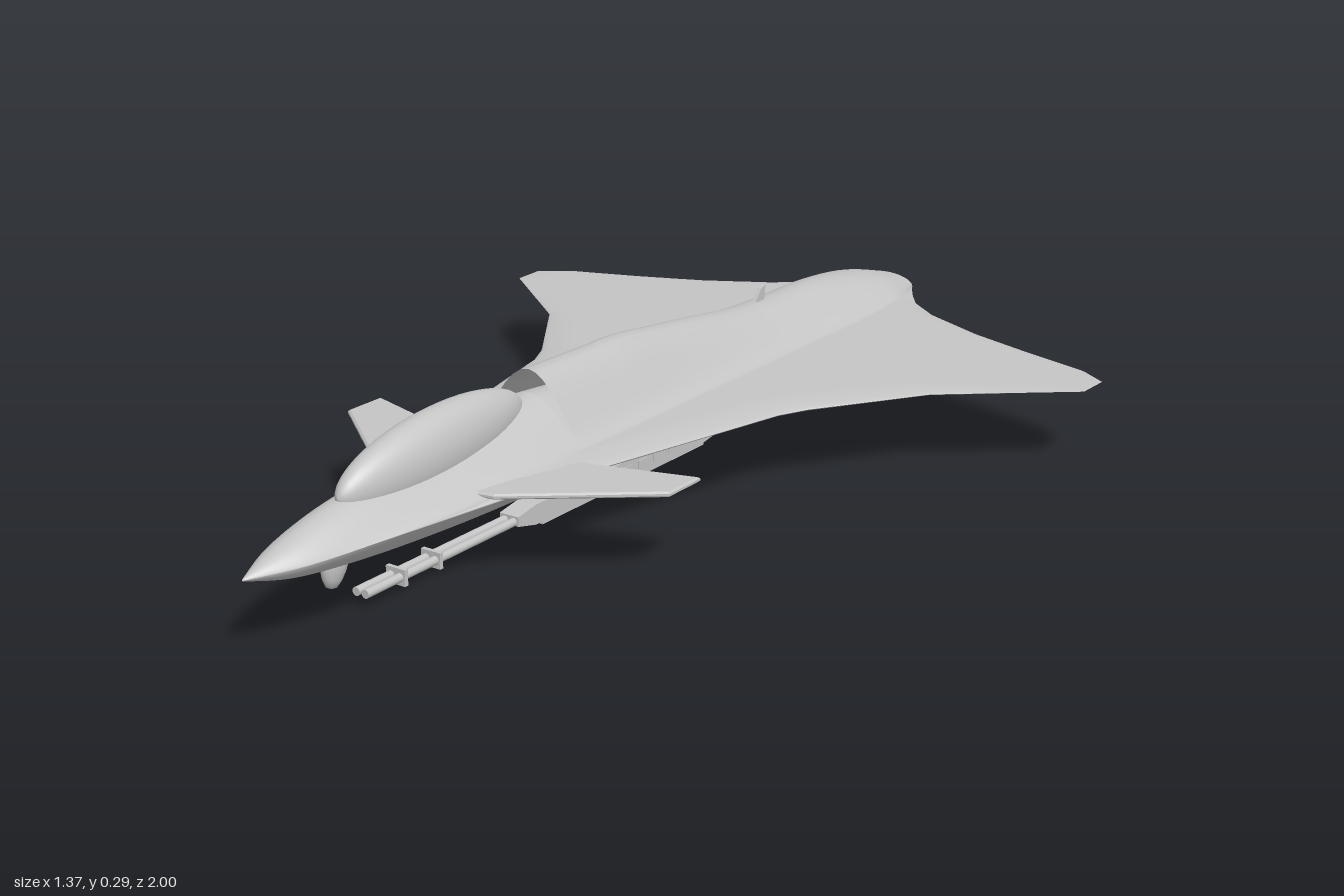
import * as THREE from 'three';

const grey = new THREE.MeshStandardMaterial({ color: 0xc4c4c4, side: THREE.DoubleSide });
grey.name = 'light grey';

// Planform edge from nose to tail: z, half-width
const EDGE = [[1, 0], [0.8, 0.073], [0.55, 0.13], [0.38, 0.17], [-0.09, 0.285], [-0.15, 0.313],
  [-0.36, 0.455], [-0.545, 0.683], [-0.62, 0.686], [-0.66, 0.63], [-0.7, 0.5], [-0.745, 0.365],
  [-0.815, 0.22], [-0.88, 0.14], [-0.93, 0.105], [-1, 0.063]];

// Fuselage from nose to tail: half-width, top y, bottom y
const BODY_Z = [1, 0.92, 0.8, 0.55, 0.29, 0.1, -0.15, -0.4, -0.7, -0.88, -1];
const BODY = new THREE.CubicInterpolant(BODY_Z.map(z => -z), [
  [0.002, 0.141, 0.137], [0.041, 0.169, 0.114], [0.073, 0.198, 0.097], [0.118, 0.22, 0.08],
  [0.13, 0.25, 0.072], [0.13, 0.29, 0.07], [0.13, 0.271, 0.071], [0.13, 0.243, 0.077],
  [0.126, 0.234, 0.093], [0.105, 0.211, 0.114], [0.065, 0.181, 0.131]].flat(), 3);

const { clamp } = THREE.MathUtils;

// Section at z; the exponent makes it round at both ends and bell-shaped amidships
function section(z) {
  const [r, top, bottom] = BODY.evaluate(-z);
  let i = 0;
  while (i < EDGE.length - 2 && z < EDGE[i + 1][0]) i++;
  const [za, wa] = EDGE[i], [zb, wb] = EDGE[i + 1];
  const w = Math.max(r, wa + (wb - wa) * (za - z) / (za - zb));
  const power = Math.min(0.7 + 1.3 * clamp((0.97 - z) / 0.57, 0, 1), 0.5 + 1.5 * clamp((z + 1) / 0.45, 0, 1));
  return { r, w, top, bottom, power, mid: 0.157 - 0.03 * Math.max(0, z - 0.4) };
}

// Height of the upper (side 1) or lower (side -1) skin at distance ax from the centreline
function skinY(ax, s, side) {
  const bell = Math.max(0, 1 - (ax / s.r) ** 2);
  const wing = 0.018 * (1 - ax / 0.76) * Math.sqrt(clamp((s.w - ax) / 0.06, 0, 1));
  const lift = Math.min(wing, (s.w - s.r) * 0.4);
  const reach = side > 0 ? s.top - s.mid : s.mid - s.bottom;
  return s.mid + side * (lift + (reach - lift) * bell ** (side > 0 ? s.power : 0.3 + 0.55 * s.power));
}

// Skin sheet lofted between two z values; topAt replaces the top line
function skin(zFrom, zTo, side, { topAt, wing = 10 } = {}) {
  const zs = [zFrom];
  for (let i = 1; i < EDGE.length; i++) {
    const a = Math.min(EDGE[i - 1][0], zFrom), b = Math.max(EDGE[i][0], zTo);
    if (a <= b) continue;
    const steps = Math.max(3, Math.ceil((a - b) / 0.025));
    for (let k = 1; k <= steps; k++) zs.push(a + (b - a) * k / steps);
  }
  const pos = [], idx = [], body = 12, n = body + wing;
  zs.forEach((z, j) => {
    const s = section(z);
    if (topAt) s.top = topAt(z, s.top);
    for (let i = -n; i <= n; i++) {
      const a = Math.abs(i);
      const ax = a <= body ? s.r * Math.sin(a / body * Math.PI / 2)
        : s.r + (s.w - s.r) * Math.sin((a - body) / wing * Math.PI / 2);
      pos.push(Math.sign(i) * ax, skinY(ax, s, side), z);
      if (j && i < n) {
        const q = pos.length / 3 - 1, p = q - (2 * n + 1);
        if (side < 0) idx.push(p, p + 1, q, p + 1, q + 1, q);
        else idx.push(p, q, p + 1, p + 1, q, q + 1);
      }
    }
  });
  // Rows run toward -z, so the outward winding is the reverse of the order above
  idx.reverse();
  const g = new THREE.BufferGeometry();
  g.setAttribute('position', new THREE.Float32BufferAttribute(pos, 3));
  g.setIndex(idx);
  g.computeVertexNormals();
  return g;
}

const shapeOf = pts => new THREE.Shape(pts.map(p => new THREE.Vector2(...p)));

// Side profile of [z, y] points, extruded across x
function sidePlate(pts, width) {
  return new THREE.ExtrudeGeometry(shapeOf(pts), { depth: width, bevelEnabled: false })
    .translate(0, 0, -width / 2).rotateY(-Math.PI / 2);
}

export function createModel() {
  const model = new THREE.Group();
  const add = (name, geo, x = 0, y = 0, z = 0, parent = model) => {
    const m = new THREE.Mesh(geo, grey);
    m.name = name;
    m.position.set(x, y, z);
    parent.add(m);
    return m;
  };
  const box = (name, w, h, d, x, y, z, parent) => add(name, new THREE.BoxGeometry(w, h, d), x, y, z, parent);

  // Blended fuselage and wing, with the raised spine starting at the intake lip
  add('forwardUpperSkin', skin(1, 0.29, 1));
  add('rearUpperSkin', skin(0.29, -1, 1, { topAt: (z, top) => z > 0.1 ? 0.29 + 0.016 * (z - 0.1) : top }));
  add('intakeFloor', skin(0.29, 0.08, 1, { topAt: z => 0.25 - (0.29 - z) * 0.1, wing: 0 }));
  add('lowerSkin', skin(1, -1, -1));

  // Canopy, its base rising toward the rear
  const canopy = new THREE.SphereGeometry(1, 40, 24).rotateX(Math.PI / 2).scale(0.052, 0.073, 0.235);
  const cp = canopy.attributes.position;
  for (let i = 0; i < cp.count; i++) cp.setY(i, cp.getY(i) - cp.getZ(i) * 0.07);
  canopy.computeVertexNormals();
  add('canopy', canopy, 0, 0.219, 0.55);

  // Exhaust nozzle: oval lip and inner wall
  const oval = new THREE.Shape().absellipse(0, 0, 0.064, 0.0245, 0, Math.PI * 2);
  oval.holes.push(new THREE.Path().absellipse(0, 0, 0.055, 0.018, 0, Math.PI * 2, true));
  add('nozzleLip', new THREE.ExtrudeGeometry(oval, { depth: 0.1, bevelEnabled: false, curveSegments: 24 }), 0, 0.156, -1);
  add('nozzleBack', new THREE.CircleGeometry(1, 32).rotateY(Math.PI).scale(0.06, 0.022, 1), 0, 0.156, -0.91);

  for (const s of [1, -1]) {
    const side = s > 0 ? 'left' : 'right';
    // Canard
    const outline = [[0.08, 0.56], [0.13, 0.55], [0.36, 0.37], [0.36, 0.28], [0.17, 0.335], [0.08, 0.35]];
    add(side + 'Canard', new THREE.ExtrudeGeometry(shapeOf(outline.map(([x, z]) => [x * s, z])), {
      depth: 0.004, bevelEnabled: true, bevelThickness: 0.003, bevelSize: 0.004, bevelOffset: -0.004, bevelSegments: 1,
    }).rotateX(Math.PI / 2), 0, 0.164, 0);
    // Small fittings under the wing and at the trailing edge
    for (const [x, z] of [[0.31, -0.36], [0.31, -0.43], [0.49, -0.51], [0.49, -0.58]])
      box(side + 'WingFitting', 0.009, 0.018, 0.018, x * s, 0.143, z);
    for (const [x, z] of [[0.31, -0.755], [0.49, -0.69]])
      box(side + 'TrailingEdgeFitting', 0.007, 0.012, 0.035, x * s, 0.15, z);
  }

  // Chin sensor
  const sensor = [[0.001, -0.024], [0.008, -0.021], [0.014, -0.008], [0.018, 0.008], [0.02, 0.026], [0.018, 0.04]];
  const chin = new THREE.LatheGeometry(sensor.map(p => new THREE.Vector2(...p)), 20).scale(1, 1, 1.4);
  add('chinSensor', chin, 0, 0.08, 0.803).rotation.x = -0.2;

  // Blade antennas
  add('spineAntenna', sidePlate([[-0.44, 0.23], [-0.47, 0.265], [-0.485, 0.27], [-0.48, 0.23]], 0.008));
  add('bellyAntenna', sidePlate([[-0.625, 0.1], [-0.635, 0.073], [-0.655, 0.07], [-0.655, 0.1]], 0.016));

  // Centreline gun pod with pylon, twin barrels, clamps and vents
  const pod = new THREE.Group();
  pod.name = 'gunPod';
  model.add(pod);
  add('podBody', sidePlate([[0.35, 0.018], [0.3, 0.006], [-0.24, 0.004], [-0.35, 0.021], [-0.35, 0.027],
    [-0.25, 0.044], [0.3, 0.044], [0.35, 0.036]], 0.042), 0, 0, 0, pod);
  add('pylon', sidePlate([[0.27, 0.08], [0.25, 0.04], [-0.28, 0.04], [-0.24, 0.08]], 0.014), 0, 0, 0, pod);
  for (const x of [-0.01, 0.01]) {
    add('barrel', new THREE.CylinderGeometry(0.008, 0.008, 0.42, 14).rotateX(Math.PI / 2), x, 0.025, 0.53, pod);
    box('podRail', 0.008, 0.008, 0.52, x * 1.7, 0.004, 0.02, pod);
    for (let i = 0; i < 6; i++) box('podVent', 0.004, 0.016, 0.03, x * 2.1, 0.025, 0.12 - i * 0.05, pod);
  }
  for (const z of [0.65, 0.56]) box('barrelClamp', 0.042, 0.03, 0.008, 0, 0.025, z, pod);

  return model;
}
